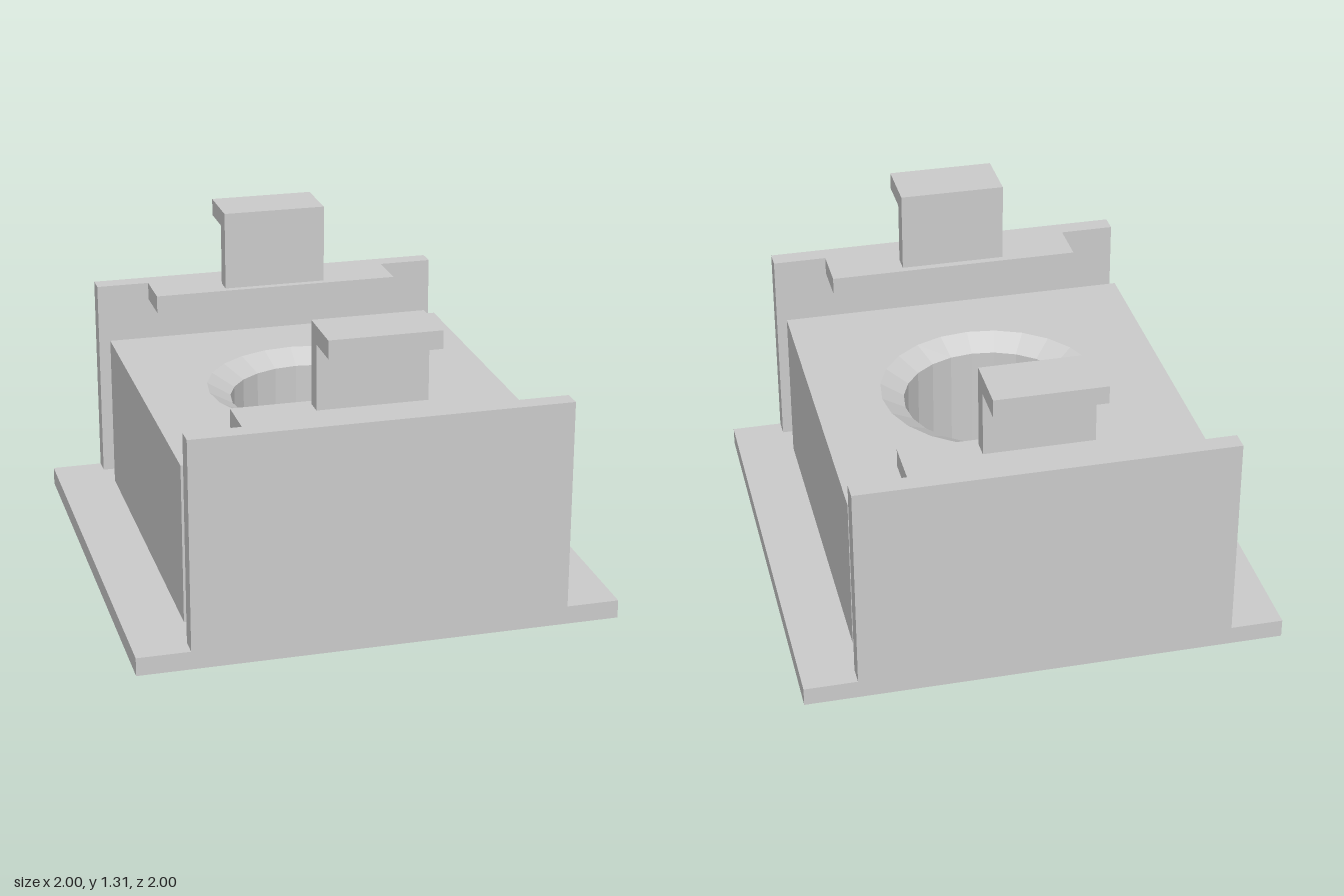
import * as THREE from 'three';

const grey = new THREE.MeshStandardMaterial({ color: 0xcccccc, flatShading: true });

function addMesh(parent, name, geometry) {
  const mesh = new THREE.Mesh(geometry, grey);
  mesh.name = name;
  parent.add(mesh);
}

// Box centred on x, given its y and z ranges
function addBox(parent, name, halfWidth, y0, y1, z0, z1) {
  const geometry = new THREE.BoxGeometry(halfWidth * 2, y1 - y0, z1 - z0);
  geometry.translate(0, (y0 + y1) / 2, (z0 + z1) / 2);
  addMesh(parent, name, geometry);
}

// Square plate with a 24-sided round hole, lying in the xz plane from y = 0 up
function holedSquare(half, radius, height, steps = 1) {
  const shape = new THREE.Shape([
    new THREE.Vector2(-half, -half), new THREE.Vector2(half, -half),
    new THREE.Vector2(half, half), new THREE.Vector2(-half, half),
  ]);
  const hole = new THREE.Path().absarc(0, 0, radius, 0, Math.PI * 2, true);
  shape.holes.push(hole);
  const geometry = new THREE.ExtrudeGeometry(shape, { depth: height, steps, bevelEnabled: false, curveSegments: 12 });
  return geometry.rotateX(-Math.PI / 2);
}

// Block whose bore is chamfered at both ends: the two middle layers move
// towards the ends and their hole narrows
function chamferedBlock(half, outerRadius, boreRadius, height, chamfer) {
  const geometry = holedSquare(half, outerRadius, height, 3);
  const p = geometry.attributes.position;
  for (let i = 0; i < p.count; i++) {
    const layer = Math.round((p.getY(i) / height) * 3);
    if (layer === 0 || layer === 3) continue;
    p.setY(i, layer === 1 ? chamfer : height - chamfer);
    if (Math.hypot(p.getX(i), p.getZ(i)) < outerRadius + 0.01) {
      p.setX(i, p.getX(i) * boreRadius / outerRadius);
      p.setZ(i, p.getZ(i) * boreRadius / outerRadius);
    }
  }
  geometry.computeVertexNormals();
  return geometry;
}

export function createModel() {
  const model = new THREE.Group();
  model.name = 'clipHousing';

  addMesh(model, 'basePlate', holedSquare(1, 0.545, 0.077));
  addMesh(model, 'boredBlock', chamferedBlock(0.757, 0.472, 0.373, 0.675, 0.055).translate(0, 0.087, 0));

  // Matching clip walls at front and back
  for (const side of ['front', 'back']) {
    const clip = new THREE.Group();
    clip.name = side + 'Clip';
    addBox(clip, 'wall', 0.78, 0.077, 0.965, 0.92, 1);
    addBox(clip, 'ledge', 0.548, 0.888, 0.965, 0.718, 0.92);
    addBox(clip, 'tabStem', 0.228, 0.965, 1.237, 0.75, 0.827);
    addBox(clip, 'tabHook', 0.228, 1.237, 1.312, 0.75, 1);
    if (side === 'back') clip.rotation.y = Math.PI;
    model.add(clip);
  }
  return model;
}
